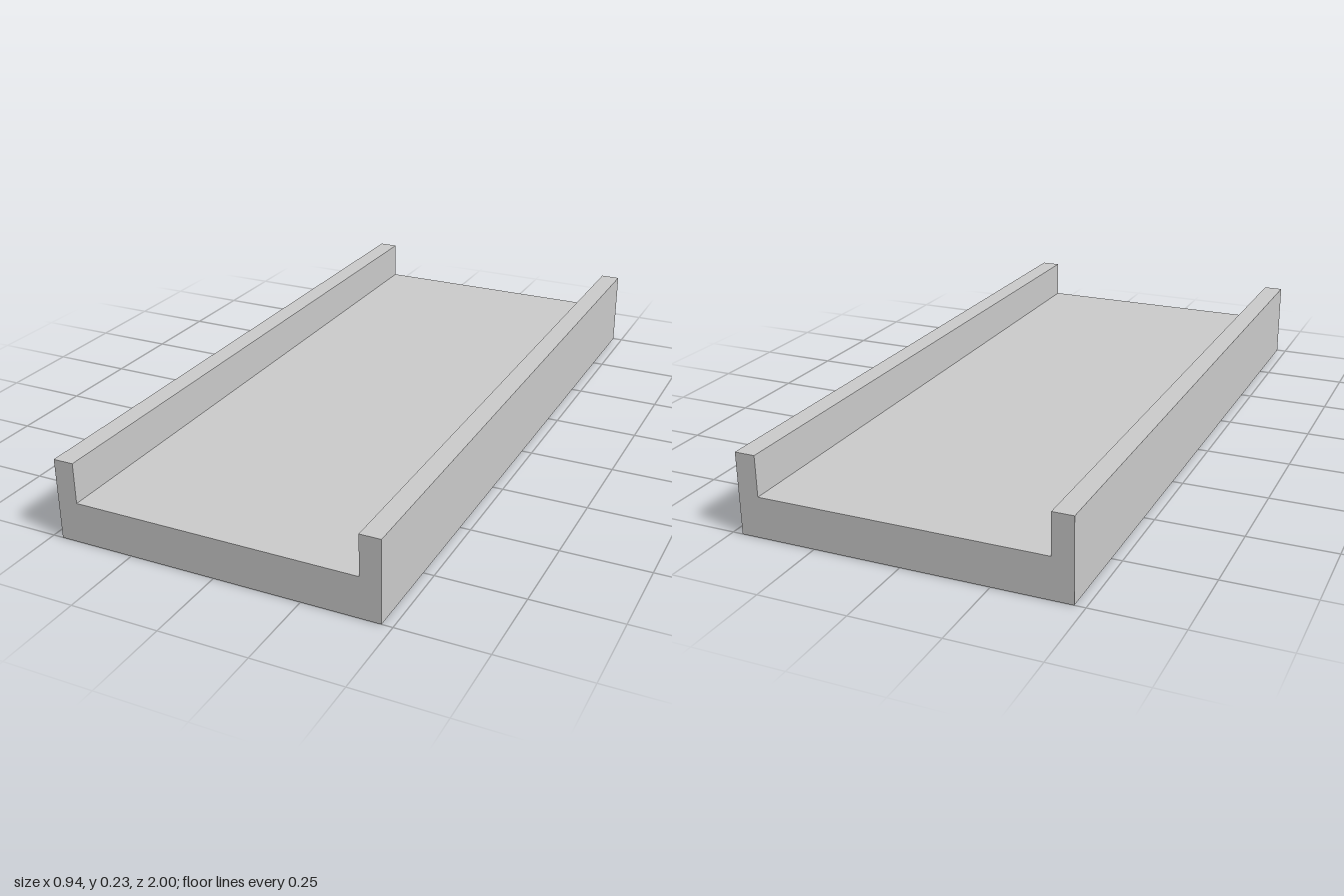
import * as THREE from 'three';

const HALF_WIDTH = 0.47;
const INNER_HALF = 0.411;
const HEIGHT = 0.235;
const DECK = 0.118;
const LENGTH = 2;

export function createModel() {
  const group = new THREE.Group();
  group.name = 'channel';

  // U-shaped cross-section: thick deck with a raised curb on each side
  const section = new THREE.Shape([
    [-HALF_WIDTH, 0], [HALF_WIDTH, 0],
    [HALF_WIDTH, HEIGHT], [INNER_HALF, HEIGHT],
    [INNER_HALF, DECK], [-INNER_HALF, DECK],
    [-INNER_HALF, HEIGHT], [-HALF_WIDTH, HEIGHT],
  ].map(([x, y]) => new THREE.Vector2(x, y)));

  // Extruded along the length and centred on z
  const geometry = new THREE.ExtrudeGeometry(section, { depth: LENGTH, bevelEnabled: false });
  geometry.translate(0, 0, -LENGTH / 2);

  const deck = new THREE.Mesh(geometry, new THREE.MeshStandardMaterial({ color: 0xcccccc }));
  deck.name = 'deckWithCurbs';
  group.add(deck);
  return group;
}
